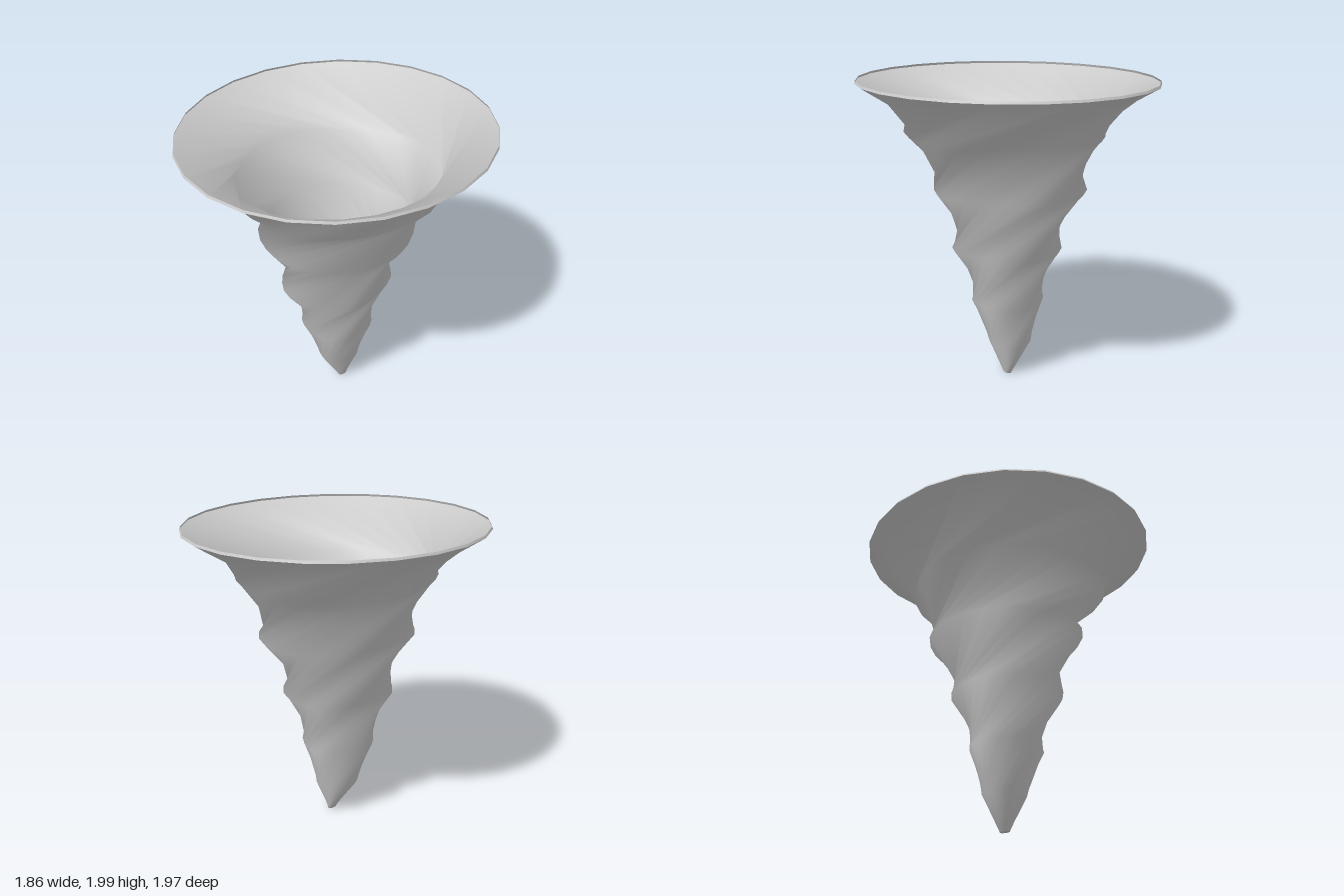
import * as THREE from 'three';

const SIDES = 24;

// Cross-sections from the tip up: height, x radius, z radius, centre x, centre z, twist from the ring below (degrees)
const RINGS = [
  [0.01, 0.02, 0.035, 0.02, -0.025, 0],
  [0.23, 0.14, 0.14, -0.01, -0.01, 35],
  [0.53, 0.24, 0.235, -0.01, 0.005, 35],
  [0.90, 0.345, 0.375, -0.005, 0.015, 62],
  [1.30, 0.475, 0.525, -0.005, -0.005, 65],
  [1.66, 0.63, 0.66, 0.01, 0.01, 56],
  [1.98, 0.93, 0.985, 0, 0.005, 50],
];

// Joins twisted rings with straight facets, which pinch the wall between them
function twistedWall(rings, ripple) {
  const positions = [];
  const index = [];
  let turn = 0;
  rings.forEach(([y, rx, rz, cx, cz, twist], j) => {
    turn += THREE.MathUtils.degToRad(twist);
    for (let i = 0; i < SIDES; i++) {
      const a = (i / SIDES) * Math.PI * 2 - turn;
      const inner = j > 0 && j < rings.length - 1;
      const k = inner ? 1 + ripple * Math.sin(5 * a + j * 2) : 1;
      const lift = inner ? ripple * 0.6 * Math.sin(3 * a + j) : 0;
      positions.push(cx + rx * k * Math.cos(a), y + lift, cz + rz * k * Math.sin(a));
    }
  });
  for (let j = 0; j < rings.length - 1; j++) {
    for (let i = 0; i < SIDES; i++) {
      const n = (i + 1) % SIDES;
      const a = j * SIDES + i, b = j * SIDES + n;
      index.push(a, a + SIDES, b, b, a + SIDES, b + SIDES);
    }
  }
  const geometry = new THREE.BufferGeometry();
  geometry.setAttribute('position', new THREE.Float32BufferAttribute(positions, 3));
  geometry.setIndex(index);
  geometry.computeVertexNormals();
  return geometry;
}

export function createModel() {
  const group = new THREE.Group();
  group.name = 'whirlwind';
  const material = new THREE.MeshStandardMaterial({ color: 0xcccccc, side: THREE.DoubleSide });
  const add = (name, geometry) => {
    const mesh = new THREE.Mesh(geometry, material);
    mesh.name = name;
    group.add(mesh);
    return mesh;
  };

  // Open twisted funnel
  add('funnel', twistedWall(RINGS, 0.02));

  // Thin lip around the open top
  const [y, rx, rz, cx, cz] = RINGS[RINGS.length - 1];
  const turn = RINGS.reduce((sum, ring) => sum + ring[5], 0);
  add('rim', twistedWall([[y, rx, rz, cx, cz, turn], [1.995, rx - 0.006, rz - 0.006, cx, cz, 0]], 0));

  // Small cap closing the tip
  const [ty, tx, tz, tcx, tcz] = RINGS[0];
  const tip = add('tip', new THREE.CircleGeometry(1, SIDES).rotateX(Math.PI / 2));
  tip.scale.set(tx, 1, tz);
  tip.position.set(tcx, ty, tcz);

  return group;
}
